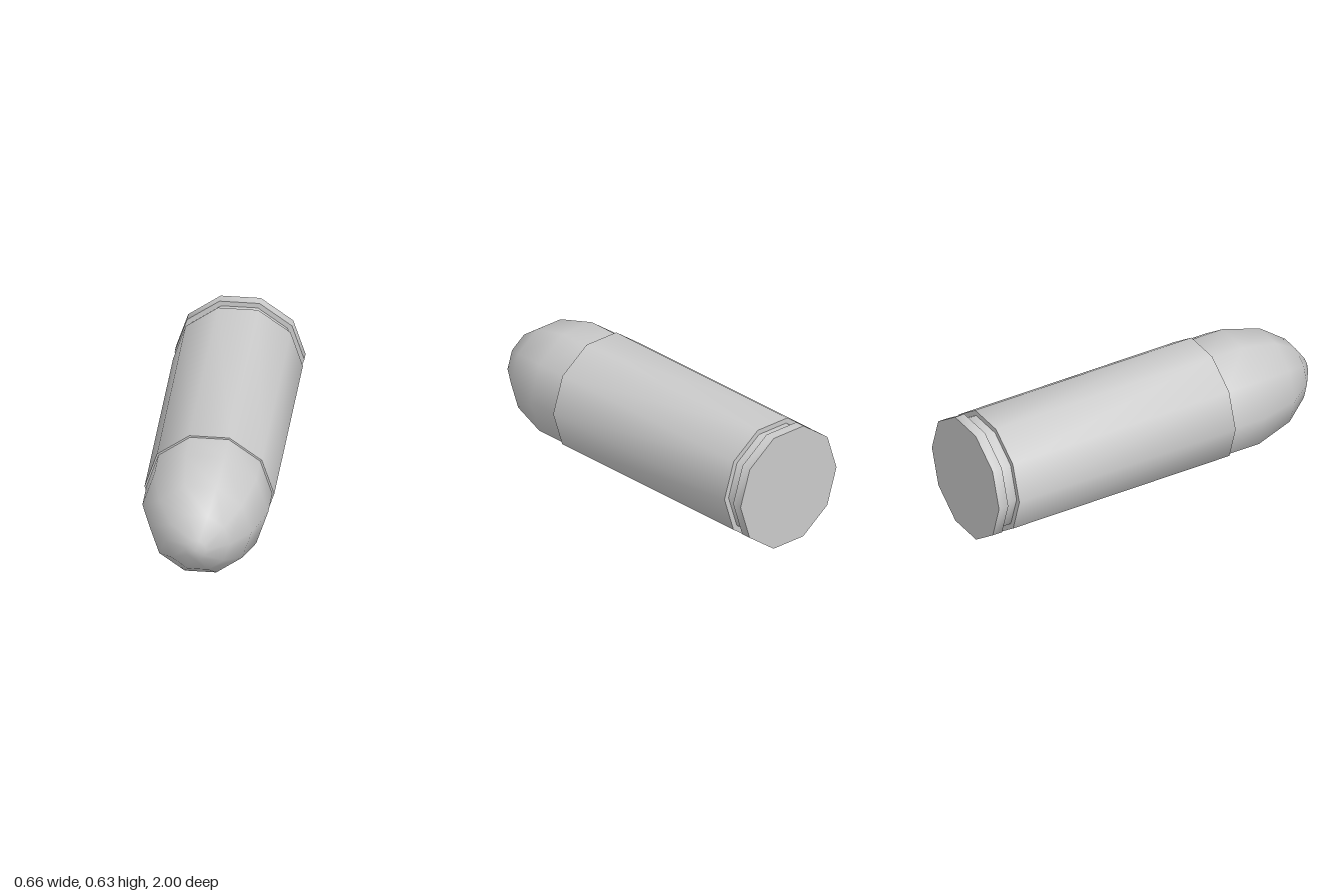
import * as THREE from 'three';
import { toCreasedNormals } from 'three/addons/utils/BufferGeometryUtils.js';

const SIDES = 10;

// Ten-sided turned part along z; profile is a list of [radius, z], back to front
function turned(name, profile, material) {
  const points = profile.map(([r, z]) => new THREE.Vector2(r, z));
  const lathe = new THREE.LatheGeometry(points, SIDES, Math.PI / 2);
  lathe.rotateX(Math.PI / 2);
  const mesh = new THREE.Mesh(toCreasedNormals(lathe, 0.9), material);
  mesh.name = name;
  return mesh;
}

export function createModel() {
  const group = new THREE.Group();
  group.name = 'cartridge';
  const grey = new THREE.MeshStandardMaterial({ color: 0xcccccc });

  // Case: flat head, rim, extractor groove, long body and mouth
  const caseBody = turned('case', [
    [0, -1], [0.33, -1], [0.33, -0.945],
    [0.302, -0.945], [0.302, -0.88],
    [0.33, -0.88], [0.33, 0.395], [0.315, 0.395],
  ], grey);

  // Bullet: short straight shank and rounded nose
  const bullet = turned('bullet', [
    [0.32, 0.38], [0.32, 0.575], [0.26, 0.785],
    [0.164, 0.915], [0.054, 0.988], [0, 1],
  ], grey);

  // The cartridge rests on its rim, nose lifted very slightly
  const body = new THREE.Group();
  body.name = 'round';
  body.add(caseBody, bullet);
  body.rotation.x = -0.0043;
  body.position.y = 0.318;
  group.add(body);
  return group;
}
